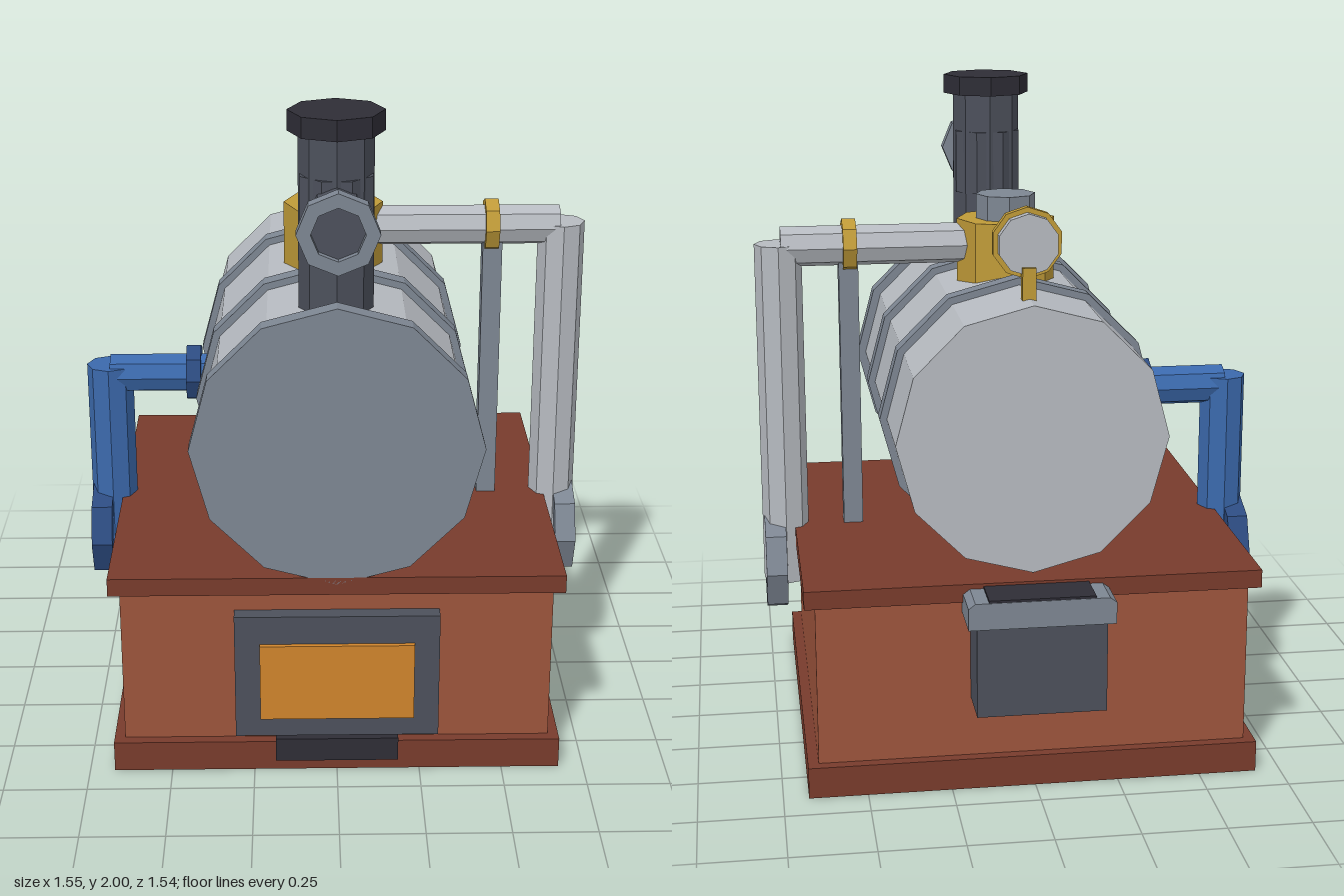
import * as THREE from 'three';

const mat = (name, color, extra = {}) => {
  const m = new THREE.MeshStandardMaterial({ color, flatShading: true, ...extra });
  m.name = name;
  return m;
};

export function createModel() {
  const model = new THREE.Group();
  model.name = 'steamBoiler';

  const brick = mat('brick', 0x9c543c);
  const darkBrick = mat('darkBrick', 0x783b2c);
  const silver = mat('silver', 0xb6bac0);
  const steel = mat('steel', 0x7d8692);
  const iron = mat('iron', 0x4c505b);
  const black = mat('black', 0x2e2d36);
  const brass = mat('brass', 0xbf9a38);
  const ember = mat('ember', 0xcf842c);
  const blue = mat('blue', 0x3b69ac);
  const darkBlue = mat('darkBlue', 0x2c4b80);

  const add = (name, geometry, material, x = 0, y = 0, z = 0) => {
    const mesh = new THREE.Mesh(geometry, material);
    mesh.name = name;
    mesh.position.set(x, y, z);
    model.add(mesh);
    return mesh;
  };
  // box given by its extents on each axis
  const box = (name, m, [x0, x1], [y0, y1], [z0, z1]) =>
    add(name, new THREE.BoxGeometry(x1 - x0, y1 - y0, z1 - z0), m,
      (x0 + x1) / 2, (y0 + y1) / 2, (z0 + z1) / 2);
  const align = (g, axis) =>
    axis === 'x' ? g.rotateZ(-Math.PI / 2) : axis === 'z' ? g.rotateX(Math.PI / 2) : g;
  // faceted cylinder from a to b along one axis; c holds the centre on the others
  const place = (name, g, m, axis, a, b, c) => {
    const p = { x: c[0], y: c[1], z: c[2] };
    p[axis] = (a + b) / 2;
    return add(name, align(g, axis), m, p.x, p.y, p.z);
  };
  const rod = (name, m, axis, r, a, b, c, sides = 8) =>
    place(name, new THREE.CylinderGeometry(r, r, b - a, sides), m, axis, a, b, c);
  const ring = (name, m, axis, ri, r, a, b, c) => {
    const h = (b - a) / 2;
    const pts = [[ri, -h], [r, -h], [r, h], [ri, h], [ri, -h]].map(p => new THREE.Vector2(...p));
    return place(name, new THREE.LatheGeometry(pts, 8), m, axis, a, b, c);
  };

  // brick base
  box('plinth', darkBrick, [-0.675, 0.675], [0, 0.095], [-0.645, 0.645]);
  box('baseBody', brick, [-0.643, 0.643], [0.09, 0.6], [-0.612, 0.612]);
  box('topSlab', darkBrick, [-0.675, 0.675], [0.59, 0.645], [-0.645, 0.645]);

  // firebox door and ash tray
  box('doorFrame', iron, [-0.305, 0.305], [0.125, 0.525], [0.6, 0.66]);
  box('doorGlow', ember, [-0.23, 0.23], [0.19, 0.435], [0.65, 0.675]);
  box('ashTray', black, [-0.185, 0.185], [0.035, 0.11], [0.6, 0.657]);

  // rear bunker with a chamfered rim and dark filling
  box('bunker', iron, [-0.19, 0.19], [0.28, 0.6], [-0.765, -0.6]);
  const rim = new THREE.Shape([
    [-0.215, 0.55], [0.215, 0.55], [0.215, 0.615], [0.195, 0.63], [-0.195, 0.63], [-0.215, 0.615],
  ].map(p => new THREE.Vector2(...p)));
  add('bunkerRim', new THREE.ExtrudeGeometry(rim, { depth: 0.17, bevelEnabled: false }), steel, 0, 0, -0.77);
  box('bunkerFill', black, [-0.155, 0.155], [0.62, 0.637], [-0.768, -0.61]);

  // boiler drum and bands
  const mid = [0, 1.05, 0];
  rod('boilerDrum', silver, 'z', 0.4, -0.585, 0.6, mid, 12);
  rod('frontCap', steel, 'z', 0.427, 0.585, 0.645, mid, 12);
  for (const z of [0.2, -0.26]) rod('boilerBand', steel, 'z', 0.422, z - 0.03, z + 0.03, mid, 12);

  // chimney with collar and front outlet
  const stack = [0, 0, 0.463];
  rod('chimney', iron, 'y', 0.108, 1.36, 1.95, stack);
  rod('chimneyCollar', iron, 'y', 0.112, 1.62, 1.82, stack).rotation.y = Math.PI / 8;
  rod('chimneyCap', black, 'y', 0.138, 1.94, 2, stack);
  rod('outletPipe', iron, 'z', 0.077, 0.46, 0.745, [0, 1.727, 0]);
  ring('outletFlange', steel, 'z', 0.075, 0.115, 0.722, 0.768, [0, 1.727, 0]);

  // steam dome
  rod('steamDome', brass, 'y', 0.152, 1.36, 1.605, [0, 0, 0]);
  rod('domeKnob', steel, 'y', 0.092, 1.6, 1.68, [0, 0, 0]);

  // steam pipe on the left side with its support
  rod('steamPipe', silver, 'x', 0.062, 0.1, 0.695, [0, 1.53, 0]);
  rod('steamDownpipe', silver, 'y', 0.072, 0.465, 1.54, [0.703, 0, 0]);
  box('pipePost', steel, [0.46, 0.52], [0.64, 1.5], [-0.03, 0.03]);
  rod('pipeClamp', brass, 'x', 0.082, 0.465, 0.507, [0, 1.53, 0]);

  // water pipe on the right side
  rod('waterPipe', blue, 'x', 0.062, -0.7, -0.385, [0, 1.05, 0]);
  rod('waterCollar', darkBlue, 'x', 0.09, -0.46, -0.415, [0, 1.05, 0]);
  rod('waterDownpipe', blue, 'y', 0.072, 0.465, 1.08, [-0.703, 0, 0]);

  // end flanges of both downpipes
  for (const [name, s, m, inner] of [['steam', 1, steel, silver], ['water', -1, darkBlue, darkBlue]]) {
    const span = (a, b) => (s > 0 ? [a, b] : [-b, -a]);
    ring(name + 'Flange', m, 'x', 0.105, 0.157, ...span(0.705, 0.77), [0, 0.523, 0]);
    rod(name + 'FlangeFace', inner, 'x', 0.106, ...span(0.71, 0.76), [0, 0.523, 0]);
  }

  // pressure gauge facing backwards
  box('gaugeStem', brass, [-0.02, 0.02], [1.42, 1.54], [-0.495, -0.463]);
  rod('gaugeCase', brass, 'z', 0.105, -0.452, -0.425, [0, 1.605, 0], 10);
  rod('gaugeFace', silver, 'z', 0.09, -0.482, -0.45, [0, 1.605, 0], 10);

  return model;
}
